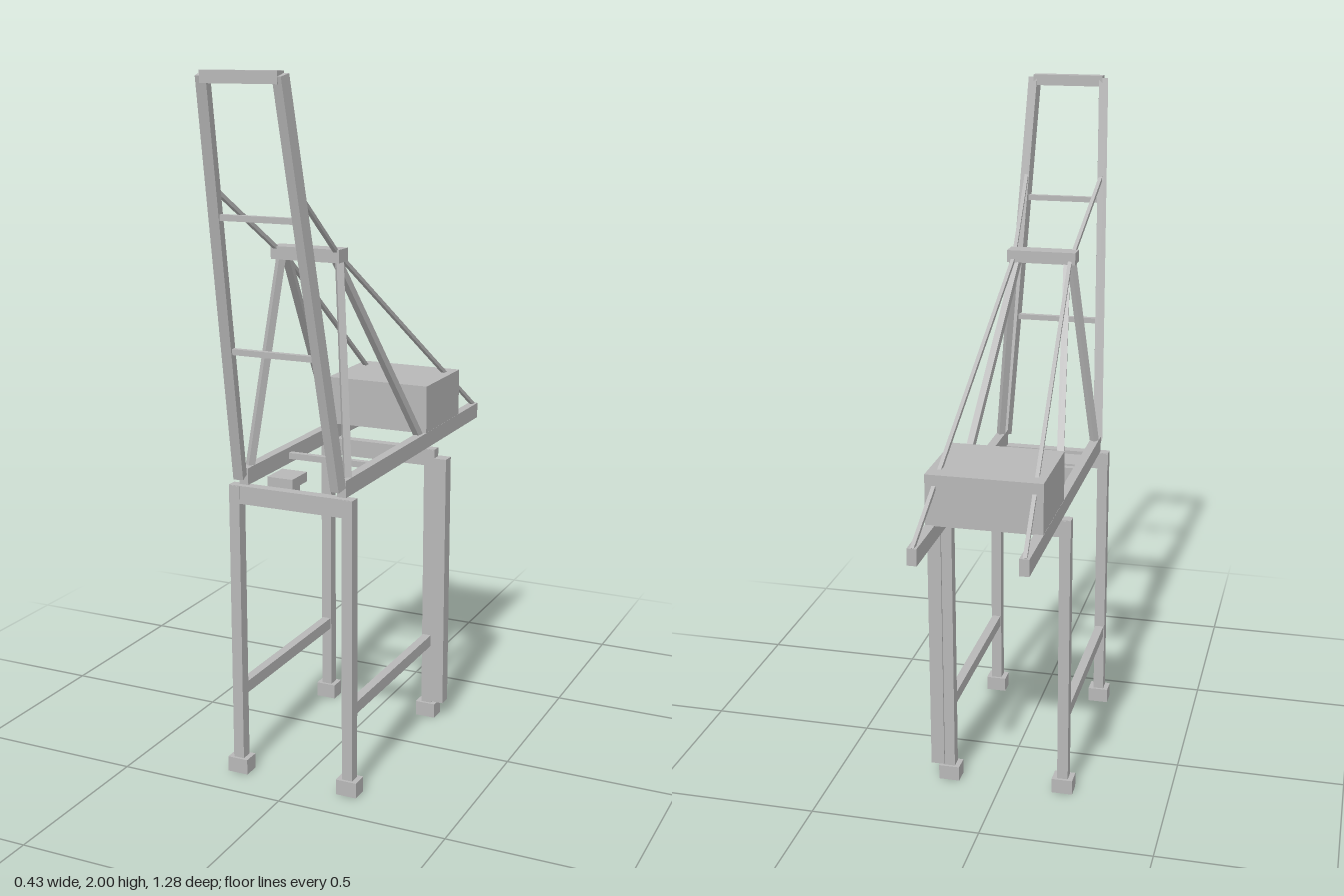
import * as THREE from 'three';

export function createModel() {
  const crane = new THREE.Group();
  crane.name = 'harbourCrane';
  const steel = new THREE.MeshStandardMaterial({ color: 0xb8b8b8, side: THREE.DoubleSide });
  steel.name = 'steelGrey';
  const CX = -0.014; // centre line of the frame; the lift makes the outline lopsided

  const add = (name, geometry) => {
    const mesh = new THREE.Mesh(geometry, steel);
    mesh.name = name;
    crane.add(mesh);
    return mesh;
  };

  // Sheet-metal box given by its limits, open underneath
  const box = (name, x0, x1, y0, y1, z0, z1) => {
    const g = new THREE.BoxGeometry(x1 - x0, y1 - y0, z1 - z0);
    const index = Array.from(g.index.array);
    index.splice(18, 6); // drop the bottom face
    g.setIndex(index);
    g.clearGroups();
    g.translate((x0 + x1) / 2, (y0 + y1) / 2, (z0 + z1) / 2);
    return add(name, g);
  };

  // Square bar between two points
  const bar = (name, a, b, w, d = w) => {
    const p = new THREE.Vector3(...a), q = new THREE.Vector3(...b);
    const mesh = add(name, new THREE.BoxGeometry(w, d, p.distanceTo(q)));
    mesh.position.copy(p).add(q).multiplyScalar(0.5);
    mesh.lookAt(q);
    return mesh;
  };

  // Portal: feet, legs and cross beams
  for (const z of [0.371, -0.215]) {
    for (const s of [-1, 1]) {
      const x = CX + s * 0.173;
      box('foot', x - 0.031, x + 0.031, 0, 0.045, z - 0.025, z + 0.025);
      box('leg', x - 0.016, x + 0.016, 0.045, 0.865, z - 0.017, z + 0.017);
    }
    box('portalCrossBeam', CX - 0.19, CX + 0.19, 0.815, 0.867, z - 0.0155, z + 0.0155);
  }

  for (const s of [-1, 1]) {
    const x = CX + s * 0.173, gx = CX + s * 0.15;
    box('sideBrace', x - 0.013, x + 0.013, 0.235, 0.27, -0.2, 0.356);
    box('girder', gx - 0.0135, gx + 0.0135, 0.868, 0.916, -0.637, 0.372);

    // Raised boom side
    bar('boomRail', [gx, 0.895, 0.393], [CX + s * 0.108, 1.99, 0.622], 0.028, 0.034);

    // A-frame struts
    bar('frontStrut', [gx, 0.915, 0.333], [CX + s * 0.088, 1.495, 0.252], 0.02);
    bar('backStrut', [gx - s * 0.005, 0.912, -0.18], [CX + s * 0.075, 1.495, 0.245], 0.02);

    // Tie rods over the A-frame
    bar('backStay', [gx, 0.912, -0.63], [CX + s * 0.085, 1.508, 0.25], 0.011);
    bar('frontStay', [CX + s * 0.088, 1.508, 0.258], [CX + s * 0.118, 1.7, 0.552], 0.011);
  }

  // Cross pieces
  box('girderTie', CX - 0.14, CX + 0.14, 0.882, 0.9, 0.107, 0.125);
  box('boomTip', CX - 0.108, CX + 0.108, 1.968, 2, 0.602, 0.639);
  box('frameHead', CX - 0.103, CX + 0.103, 1.49, 1.526, 0.229, 0.285);
  for (const [y, z, half] of [[1.265, 0.469, 0.134], [1.63, 0.546, 0.12]]) {
    box('boomRung', CX - half, CX + half, y - 0.008, y + 0.008, z - 0.008, z + 0.008);
  }

  // Machinery house, trolley with cab, and the lift on one rear leg
  box('machineHouse', CX - 0.163, CX + 0.163, 0.914, 1.06, -0.467, -0.198);
  box('trolley', -0.129, -0.05, 0.848, 0.876, 0.208, 0.3);
  box('cab', -0.118, -0.065, 0.785, 0.848, 0.224, 0.29);
  box('liftShaft', 0.174, 0.214, 0.05, 0.84, -0.238, -0.198);

  return crane;
}
